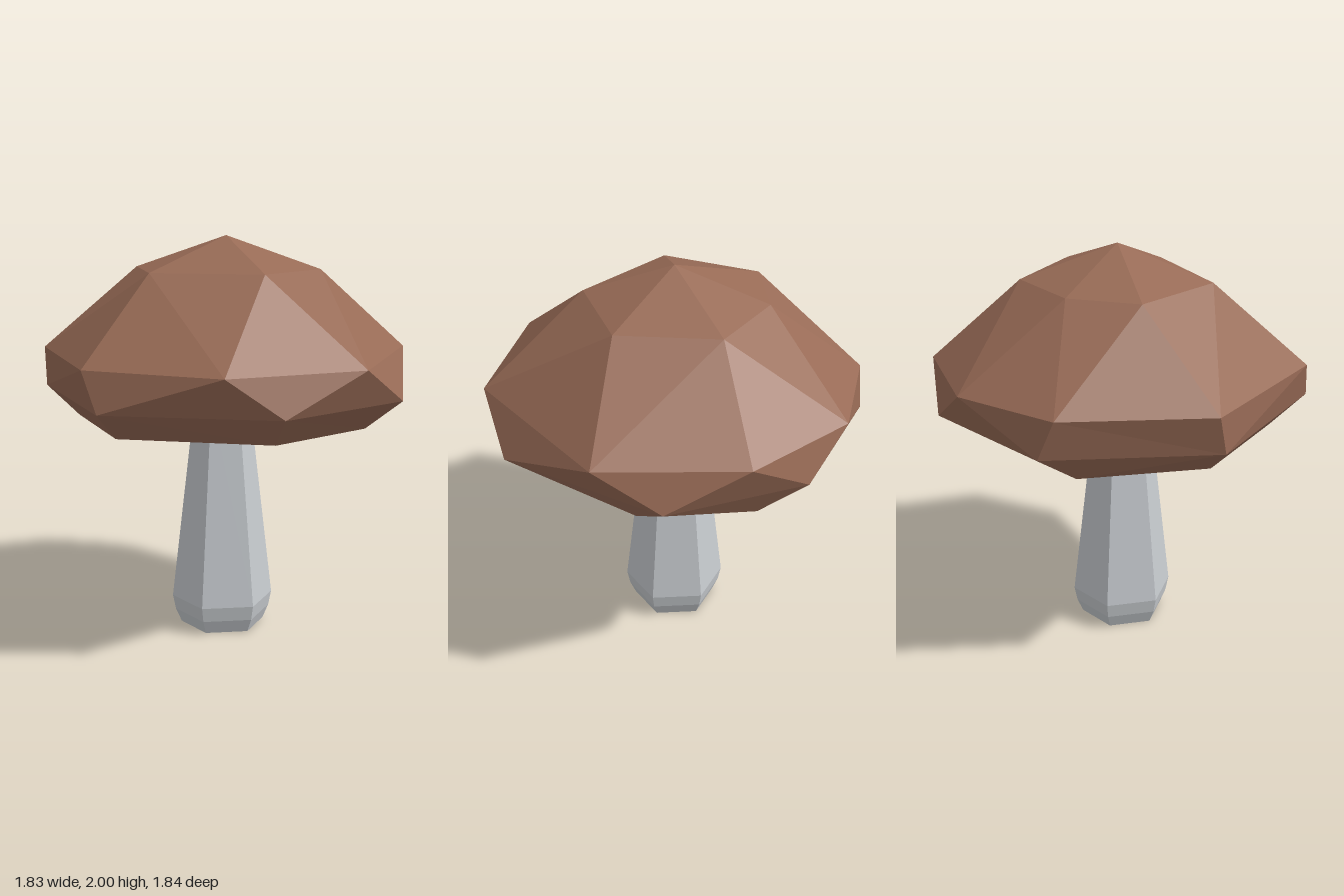
import * as THREE from 'three';

// Unwrapped polar angle of each ring point, so that it rises steadily around the ring
function ringAngles(ring) {
  const out = [];
  ring.forEach(([x, , z], i) => {
    let a = Math.atan2(z, x);
    while (i && a < out[i - 1]) a += Math.PI * 2;
    out.push(a);
  });
  out.push(out[0] + Math.PI * 2);
  return out;
}

// Zip two rings with different point counts into triangles
function stitch(upper, lower, out) {
  const a = ringAngles(upper), b = ringAngles(lower);
  const n = upper.length, m = lower.length;
  let i = 0, j = 0;
  while (i < n || j < m) {
    const moveUpper = j === m || (i < n && a[i] + a[i + 1] < b[j] + b[j + 1]);
    const u = upper[i % n], l = lower[j % m];
    if (moveUpper) out.push(u, upper[++i % n], l);
    else out.push(u, lower[++j % m], l);
  }
}

// Close a ring to a single point; facing is up for the crown, down for the underside
function fan(ring, tip, up, out) {
  ring.forEach((p, i) => {
    const q = ring[(i + 1) % ring.length];
    if (up) out.push(tip, q, p);
    else out.push(p, q, tip);
  });
}

const level = (y, points) => points.map(([x, z]) => [x, y, z]);

function capGeometry() {
  const crown = level(1.835, [[0.36, 0.3], [-0.1, 0.43], [-0.47, 0.02], [-0.25, -0.43], [0.11, -0.44], [0.43, -0.19]]);
  const shoulder = level(1.43, [[0.83, 0.42], [0.1, 0.92], [-0.56, 0.73], [-0.92, 0.14],
    [-0.67, -0.66], [0, -0.92], [0.52, -0.76], [0.87, -0.28]]);
  const rim = level(1.24, [[0.91, 0.11], [0.43, 0.82], [-0.32, 0.85], [-0.91, 0.25],
    [-0.69, -0.61], [0.08, -0.92], [0.72, -0.56]]);
  const lip = level(1.095, [[0.71, 0.22], [0.33, 0.67], [-0.25, 0.7], [-0.75, 0.15],
    [-0.59, -0.46], [-0.04, -0.75], [0.71, -0.33]]);
  const hollow = lip.map(([x, , z]) => [x * 0.54, 1.2, z * 0.54]);

  const tris = [];
  fan(crown, [0, 2, 0], true, tris);
  const rings = [crown, shoulder, rim, lip, hollow];
  for (let k = 0; k < rings.length - 1; k++) stitch(rings[k], rings[k + 1], tris);
  fan(hollow, [0, 1.21, 0], false, tris);

  const geometry = new THREE.BufferGeometry();
  geometry.setAttribute('position', new THREE.Float32BufferAttribute(tris.flat(), 3));
  geometry.computeVertexNormals();
  return geometry;
}

function stemGeometry() {
  // Six-sided tapered stem with a bevelled foot
  const profile = [[0, 0], [0.215, 0], [0.245, 0.07], [0.26, 0.145], [0.137, 1.2], [0, 1.22]];
  const lathe = new THREE.LatheGeometry(profile.map(([r, y]) => new THREE.Vector2(r, y)), 6);
  const geometry = lathe.toNonIndexed();
  geometry.computeVertexNormals();
  return geometry;
}

export function createModel() {
  const brown = new THREE.MeshStandardMaterial({ color: 0x986b56, flatShading: true });
  brown.name = 'cap brown';
  const grey = new THREE.MeshStandardMaterial({ color: 0xc8ccd0, flatShading: true });
  grey.name = 'stem grey';

  const group = new THREE.Group();
  group.name = 'mushroom';

  const cap = new THREE.Mesh(capGeometry(), brown);
  cap.name = 'cap';

  const stem = new THREE.Mesh(stemGeometry(), grey);
  stem.name = 'stem';
  stem.position.x = -0.025;

  group.add(cap, stem);
  return group;
}
